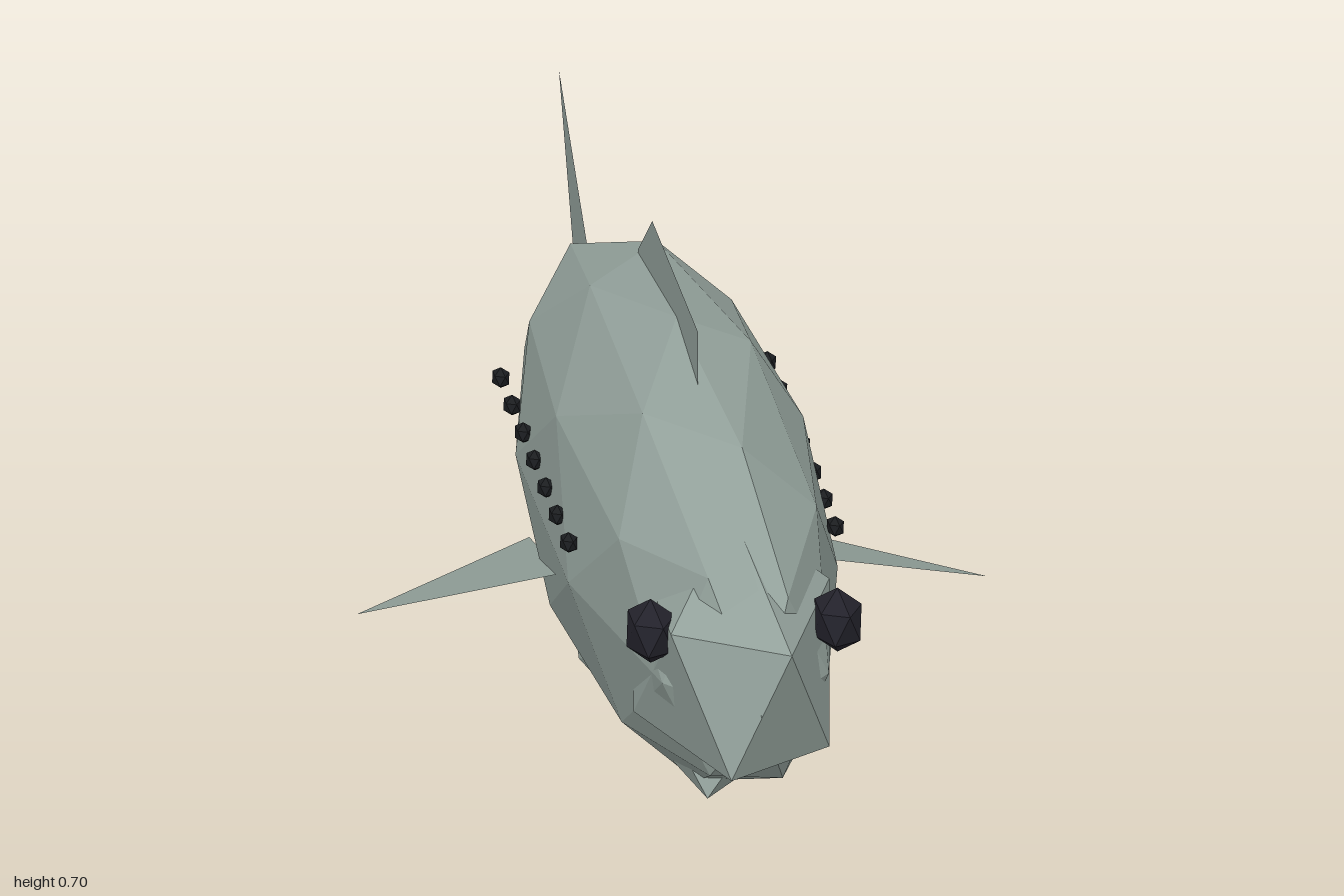
import * as THREE from 'three';

const skin = new THREE.MeshStandardMaterial({ color: 0x93a19b, flatShading: true });
skin.name = 'greyGreenSkin';
const finSkin = new THREE.MeshStandardMaterial({ color: 0x93a19b, flatShading: true, side: THREE.DoubleSide });
finSkin.name = 'greyGreenFin';
const eyeDark = new THREE.MeshStandardMaterial({ color: 0x23222b, flatShading: true });
eyeDark.name = 'eyeDark';
const spotDark = new THREE.MeshStandardMaterial({ color: 0x1b1d20, flatShading: true });
spotDark.name = 'spotDark';

// Faceted ellipsoid standing on one vertex, with an upper-ring vertex towards +x
function ellipsoid(name, detail, radii, centre, material) {
  const geo = new THREE.IcosahedronGeometry(1, detail);
  geo.rotateZ(-Math.atan(2 / (1 + Math.sqrt(5))));
  geo.scale(...radii);
  const mesh = new THREE.Mesh(geo, material);
  mesh.position.set(...centre);
  mesh.name = name;
  return mesh;
}

// Flat upright fin in the x = 0 plane, outlined by [z, y] points
function uprightFin(name, points) {
  const shape = new THREE.Shape(points.map(([z, y]) => new THREE.Vector2(-z, y)));
  const geo = new THREE.ShapeGeometry(shape);
  geo.rotateY(Math.PI / 2); // shape x becomes -z
  const mesh = new THREE.Mesh(geo, finSkin);
  mesh.name = name;
  return mesh;
}

// Triangular side fin
function sideFin(name, side) {
  const geo = new THREE.BufferGeometry();
  geo.setAttribute('position', new THREE.Float32BufferAttribute([
    side * 0.195, 0.28, 0.28,
    side * 0.49, 0.163, 0.115,
    side * 0.18, 0.163, -0.15,
  ], 3));
  if (side < 0) geo.setIndex([0, 2, 1]);
  else geo.setIndex([0, 1, 2]);
  geo.computeVertexNormals();
  const mesh = new THREE.Mesh(geo, finSkin);
  mesh.name = name;
  return mesh;
}

export function createModel() {
  const fish = new THREE.Group();
  fish.name = 'fish';

  // Body, head and belly are overlapping faceted ellipsoids
  fish.add(
    ellipsoid('body', 1, [0.22, 0.322, 0.84], [0, 0.322, 0.16], skin),
    ellipsoid('head', 0, [0.17, 0.225, 0.352], [0, 0.32, 0.7], skin),
    ellipsoid('belly', 0, [0.174, 0.155, 0.69], [0, 0.166, 0.183], skin),
  );

  // Fins along the centre line
  fish.add(
    uprightFin('dorsalFin', [[0.37, 0.58], [0.37, 0.705], [-0.08, 0.705], [-0.22, 0.6], [-0.22, 0.58]]),
    uprightFin('tailFin', [[-0.6, 0.325], [-1, 0.58], [-0.85, 0.325], [-1, 0.07]]),
  );

  // Mirrored parts: side fins, eyes and the row of spots
  for (const [label, side] of [['left', 1], ['right', -1]]) {
    fish.add(sideFin(label + 'SideFin', side));
    fish.add(ellipsoid(label + 'Eye', 0, [0.042, 0.053, 0.062], [side * 0.145, 0.404, 0.825], eyeDark));
    for (let i = 0; i < 7; i++) {
      fish.add(ellipsoid(label + 'Spot', 0, [0.015, 0.017, 0.022],
        [side * 0.207, 0.385, 0.41 - i * 0.1115], spotDark));
    }
  }
  return fish;
}
